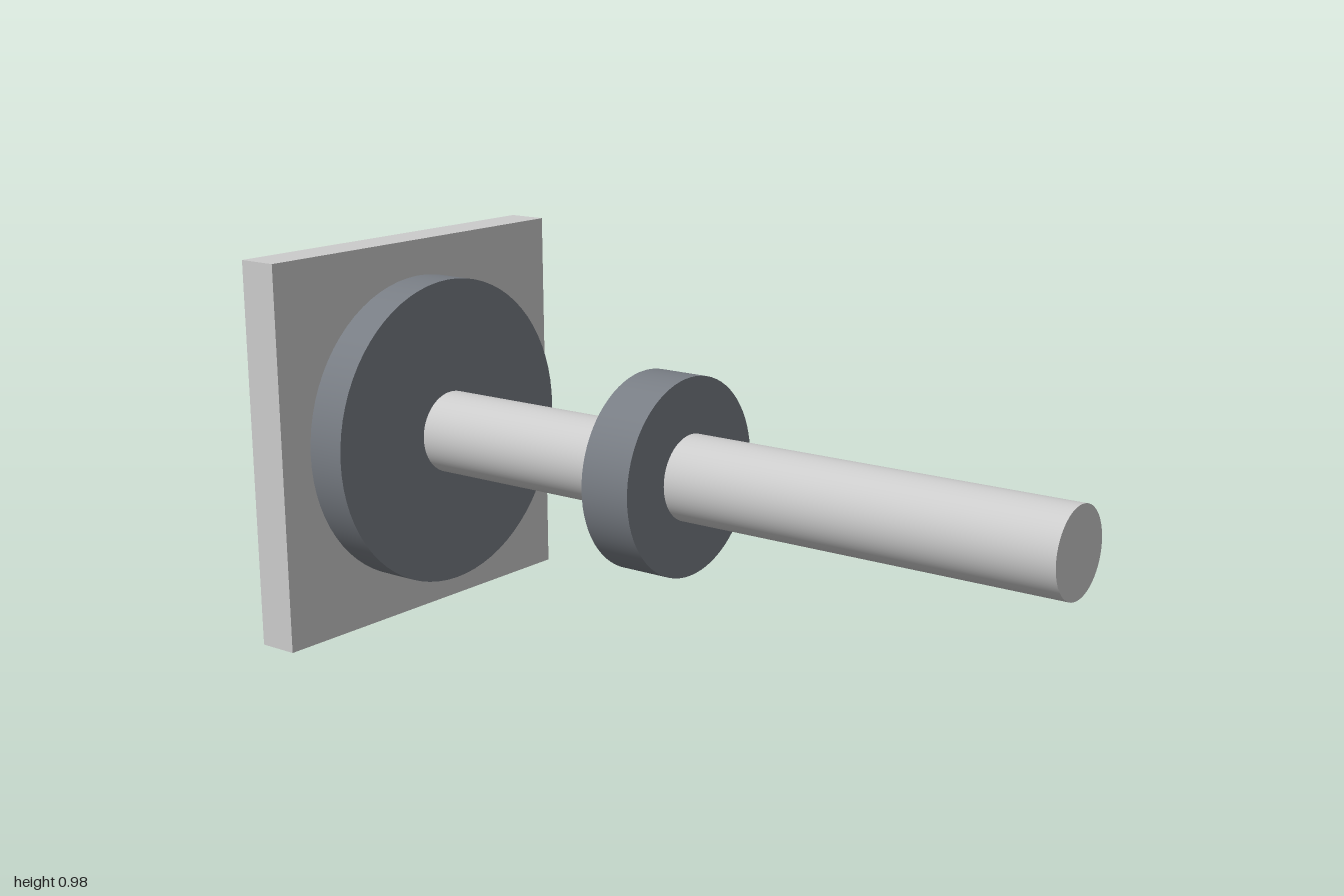
import * as THREE from 'three';

const CENTER_Y = 0.49;

export function createModel() {
  const group = new THREE.Group();
  const light = new THREE.MeshStandardMaterial({ color: 0xcccccc });
  const dark = new THREE.MeshStandardMaterial({ color: 0x787d84 });

  const add = (name, geometry, material, z) => {
    const mesh = new THREE.Mesh(geometry, material);
    mesh.name = name;
    mesh.position.set(0, CENTER_Y, z);
    group.add(mesh);
  };

  // Round part lying along z between two depths
  const disc = (name, radius, back, front, material) => {
    const geometry = new THREE.CylinderGeometry(radius, radius, front - back, 72);
    geometry.rotateX(Math.PI / 2);
    add(name, geometry, material, (front + back) / 2);
  };

  // Square wall plate with its round flange
  add('wallPlate', new THREE.BoxGeometry(0.98, 0.98, 0.105), light, -0.9475);
  disc('flange', 0.397, -0.895, -0.79, dark);

  // Rod with the collar near its middle
  disc('rod', 0.106, -0.79, 1, light);
  disc('collar', 0.244, -0.152, -0.017, dark);

  return group;
}
